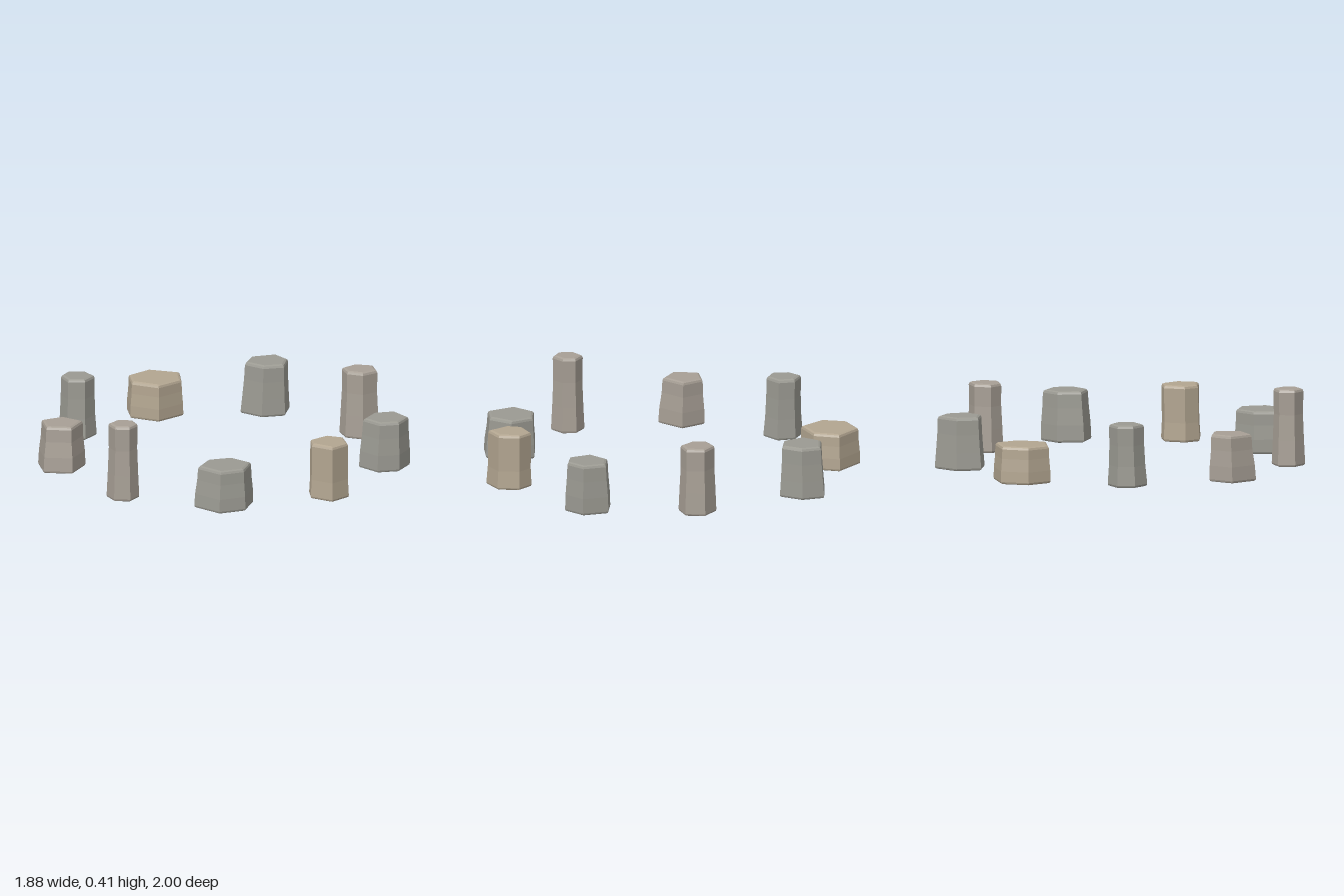
import * as THREE from 'three';

const TAN = 0xb2a590, GREY = 0x9b9a92, WARM = 0xa79f95;

// One standing stone: footprint corners [x, z] (clockwise from above), height,
// widths at base / lower / upper / shoulder, and sideways drift of the top.
function stone(name, color, height, corners, widths, drift = [0, 0]) {
  const n = corners.length;
  const cx = corners.reduce((s, c) => s + c[0], 0) / n;
  const cz = corners.reduce((s, c) => s + c[1], 0) / n;
  const radius = corners.reduce((s, c) => s + Math.hypot(c[0] - cx, c[1] - cz), 0) / n;

  const ring = (y, w, inset = 0) => {
    const k = w - inset / radius, t = y / height;
    return corners.map(([x, z]) => new THREE.Vector3(
      cx + (x - cx) * k + drift[0] * t, y, cz + (z - cz) * k + drift[1] * t));
  };
  const [w0, w1, w2, w3] = widths;
  const rings = [
    ring(0, w0, 0.012), ring(0.004, w0, 0.003), ring(0.012, w0),   // worn foot
    ring(height * 0.34, w1), ring(height * 0.67, w2),
    ring(height - 0.016, w3), ring(height - 0.005, w3, 0.005), ring(height, w3, 0.017), // worn rim
  ];

  const pos = [];
  const tri = (...pts) => pts.forEach((p) => pos.push(p.x, p.y, p.z));
  for (let r = 0; r < rings.length - 1; r++) {
    const lo = rings[r], up = rings[r + 1];
    for (let i = 0; i < n; i++) {
      const j = (i + 1) % n;
      tri(lo[j], lo[i], up[i]);
      tri(lo[j], up[i], up[j]);
    }
  }
  // Top and bottom caps
  const top = rings[rings.length - 1], foot = rings[0];
  for (let i = 1; i < n - 1; i++) {
    tri(top[0], top[i + 1], top[i]);
    tri(foot[0], foot[i], foot[i + 1]);
  }

  const geo = new THREE.BufferGeometry();
  geo.setAttribute('position', new THREE.Float32BufferAttribute(pos, 3));
  geo.computeVertexNormals();
  const mesh = new THREE.Mesh(geo, new THREE.MeshStandardMaterial({ color, flatShading: true }));
  mesh.name = name;
  return mesh;
}

export function createModel() {
  const circle = new THREE.Group();
  circle.name = 'stoneCircle';
  circle.add(
    stone('backStone', TAN, 0.2,
      [[0.03, -0.97], [0.18, -1], [0.3, -0.86], [0.23, -0.73], [0.06, -0.7], [-0.03, -0.84]],
      [1, 0.99, 0.95, 0.94]),
    stone('backLeftStone', GREY, 0.28,
      [[0.61, -0.7], [0.76, -0.66], [0.77, -0.54], [0.68, -0.44], [0.56, -0.48], [0.51, -0.61]],
      [1, 0.95, 0.9, 0.88], [0.005, 0.005]),
    stone('leftStone', WARM, 0.365,
      [[0.86, -0.05], [0.94, 0.03], [0.905, 0.13], [0.8, 0.14], [0.74, 0.06], [0.76, -0.03]],
      [1, 0.95, 0.89, 0.9], [0.003, 0]),
    stone('frontLeftStone', GREY, 0.27,
      [[0.64, 0.47], [0.76, 0.51], [0.77, 0.65], [0.66, 0.72], [0.55, 0.68], [0.52, 0.545]],
      [1, 0.98, 0.92, 0.89], [0.007, 0.003]),
    stone('frontStone', TAN, 0.3,
      [[0.05, 0.8], [0.17, 0.78], [0.23, 0.86], [0.19, 0.97], [0.07, 1], [0.01, 0.88]],
      [1, 0.95, 0.95, 0.95], [0.003, -0.003]),
    stone('frontRightStone', GREY, 0.225,
      [[-0.47, 0.6], [-0.33, 0.64], [-0.285, 0.78], [-0.4, 0.885], [-0.545, 0.86], [-0.595, 0.69]],
      [1, 0.98, 0.92, 0.9], [0.008, -0.005]),
    stone('rightStone', WARM, 0.41,
      [[-0.8, 0.25], [-0.73, 0.31], [-0.745, 0.385], [-0.825, 0.425], [-0.895, 0.375], [-0.885, 0.285]],
      [1, 0.93, 0.87, 0.9]),
    stone('backRightStone', WARM, 0.25,
      [[-0.88, -0.4], [-0.735, -0.385], [-0.68, -0.25], [-0.82, -0.155], [-0.94, -0.25]],
      [1, 0.97, 0.89, 0.87], [0.006, -0.004]),
    stone('rearStone', GREY, 0.33,
      [[-0.43, -0.84], [-0.34, -0.78], [-0.34, -0.68], [-0.44, -0.63], [-0.525, -0.685], [-0.51, -0.79]],
      [1, 0.92, 0.88, 0.88], [0.005, -0.003]),
  );
  return circle;
}
